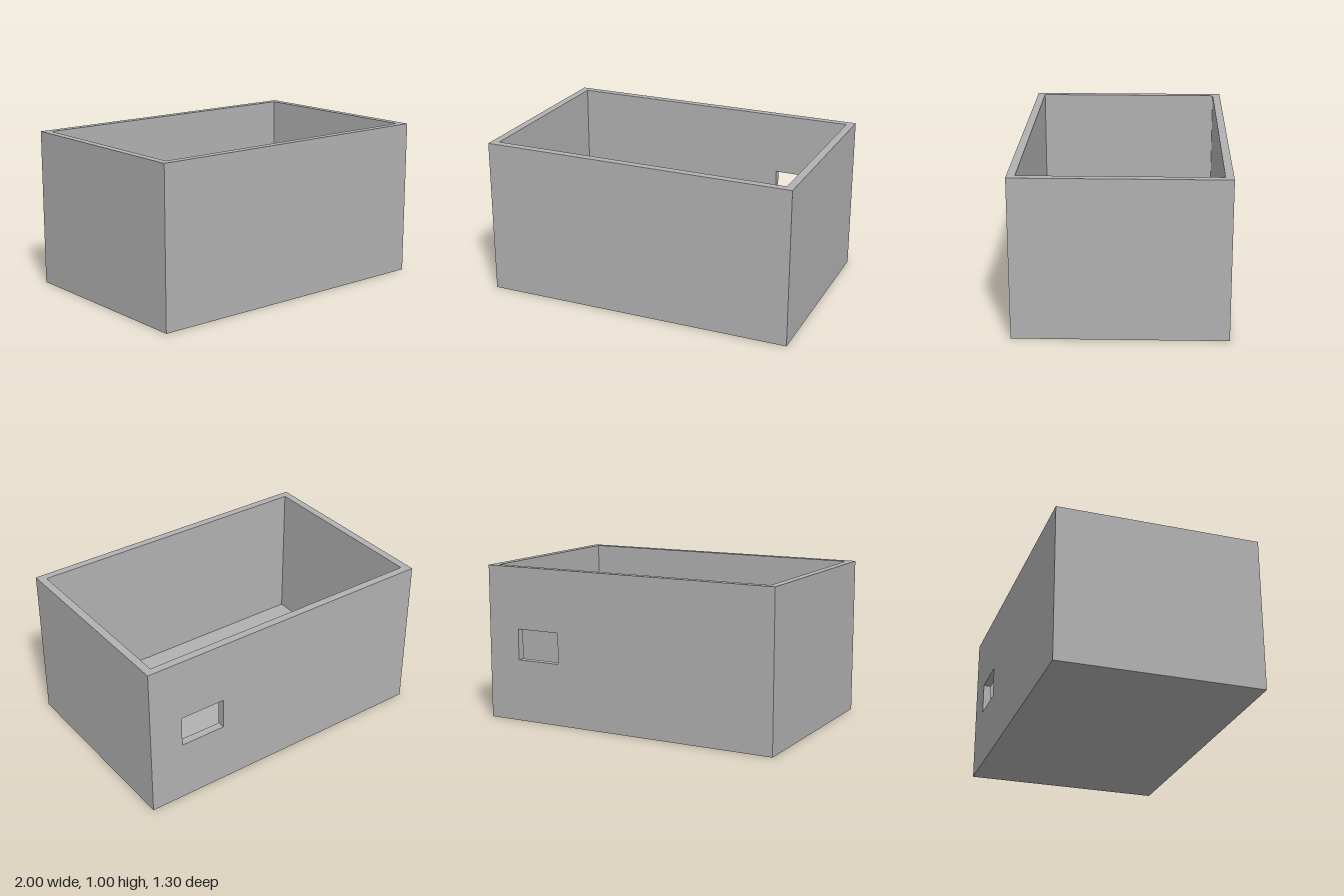
import * as THREE from 'three';

// Outer half sizes, height, wall and floor thickness
const HX = 1, HZ = 0.65, H = 1, WALL = 0.05, FLOOR = 0.1;
// Opening in the back wall
const WIN = { x0: 0.48, x1: 0.78, y0: 0.4, y1: 0.6 };

function trace(path, x0, x1, y0, y1) {
  path.moveTo(x0, y0).lineTo(x1, y0).lineTo(x1, y1).lineTo(x0, y1).closePath();
  return path;
}

// Flat rectangle facing +z, with an optional rectangular hole
function panel(x0, x1, y0, y1, hole) {
  const shape = trace(new THREE.Shape(), x0, x1, y0, y1);
  if (hole) shape.holes.push(trace(new THREE.Path(), ...hole));
  return new THREE.ShapeGeometry(shape);
}

export function createModel() {
  const model = new THREE.Group();
  const grey = new THREE.MeshStandardMaterial({ color: 0xb2b2b2 });
  grey.name = 'grey';

  const add = (name, geometry, parent = model) => {
    const mesh = new THREE.Mesh(geometry, grey);
    mesh.name = name;
    parent.add(mesh);
  };

  // Four walls, each with an outer and an inner face
  const { x0, x1, y0, y1 } = WIN;
  const walls = [
    ['frontWall', 0, HX, HZ],
    ['leftWall', Math.PI / 2, HZ, HX],
    ['backWall', Math.PI, HX, HZ],
    ['rightWall', -Math.PI / 2, HZ, HX],
  ];
  for (const [name, angle, half, dist] of walls) {
    const wall = new THREE.Group();
    wall.name = name;
    const back = name === 'backWall';
    const w = half - WALL;
    add('outerFace', panel(-half, half, 0, H, back && [-x1, -x0, y0, y1])
      .translate(0, 0, dist).rotateY(angle), wall);
    add('innerFace', panel(-w, w, FLOOR, H, back && [x0, x1, y0, y1])
      .translate(0, 0, WALL - dist).rotateY(angle + Math.PI), wall);
    model.add(wall);
  }

  // Top rim, floor and underside
  const ix = HX - WALL, iz = HZ - WALL;
  add('rim', panel(-HX, HX, -HZ, HZ, [-ix, ix, -iz, iz])
    .rotateX(-Math.PI / 2).translate(0, H, 0));
  add('floor', panel(-ix, ix, -iz, iz).rotateX(-Math.PI / 2).translate(0, FLOOR, 0));
  add('underside', panel(-HX, HX, -HZ, HZ).rotateX(Math.PI / 2));

  // Inside faces of the window opening
  const w = x1 - x0, h = y1 - y0;
  const cx = (x0 + x1) / 2, cy = (y0 + y1) / 2, cz = -HZ + WALL / 2;
  const opening = new THREE.Group();
  opening.name = 'windowOpening';
  for (const s of [1, -1]) {
    add(s > 0 ? 'sill' : 'lintel', new THREE.PlaneGeometry(w, WALL)
      .rotateX(-s * Math.PI / 2).translate(cx, cy - s * h / 2, cz), opening);
    add(s > 0 ? 'rightJamb' : 'leftJamb', new THREE.PlaneGeometry(WALL, h)
      .rotateY(s * Math.PI / 2).translate(cx - s * w / 2, cy, cz), opening);
  }
  model.add(opening);

  return model;
}
